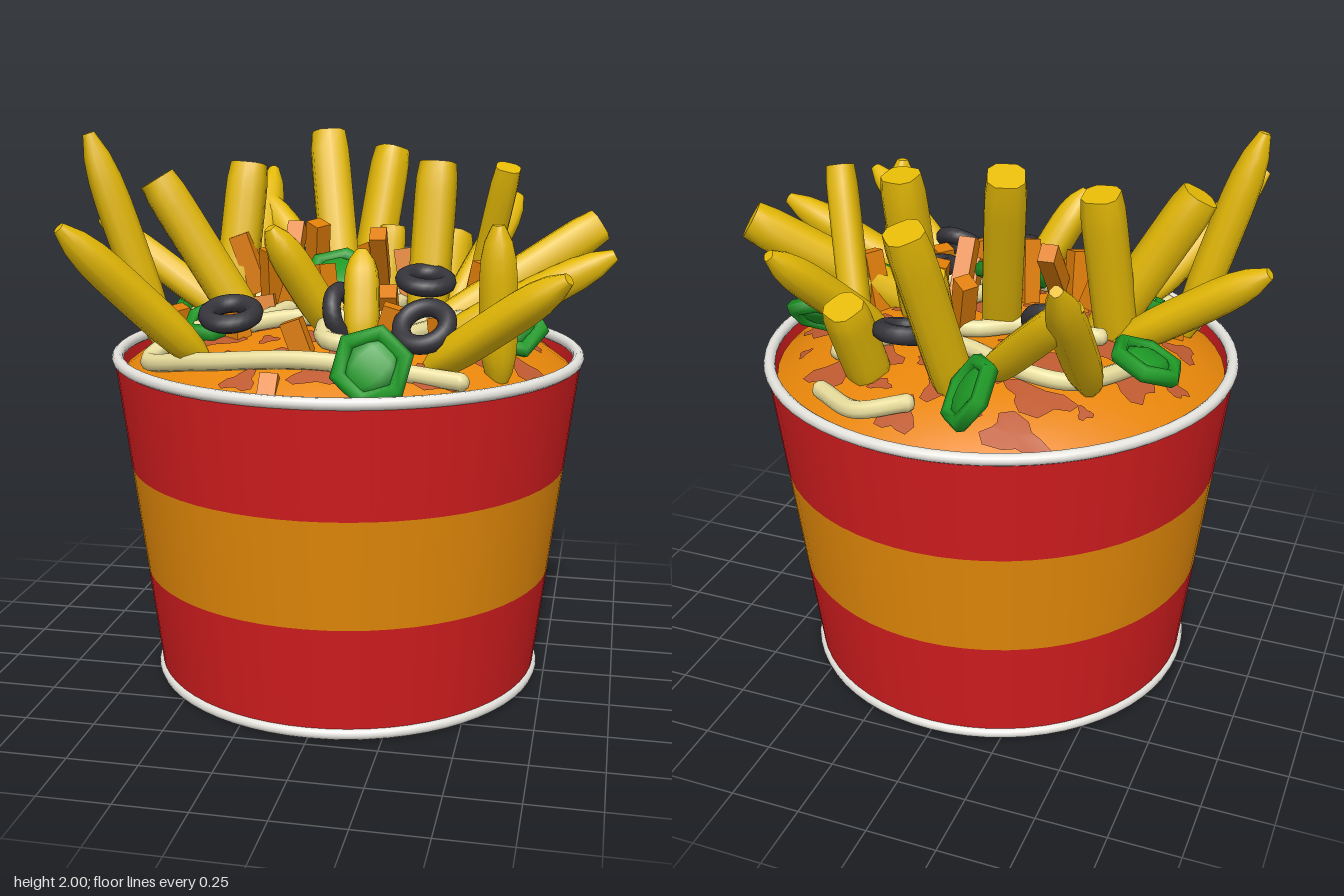
import * as THREE from 'three';

const mat = (name, color, side = THREE.FrontSide) => {
  const m = new THREE.MeshStandardMaterial({ color, side });
  m.name = name;
  return m;
};

// Height of the sauce mound at a point
const moundY = (x, z) => 1.35 - 0.19 * (Math.hypot(x, z) / 0.81) ** 3.5;
const UP = new THREE.Vector3(0, 1, 0);
const FACING = new THREE.Vector3(0, 0, 1);

// Rounded-square stick along y; pointed ones narrow towards both ends
function fryGeometry(length, width, pointed) {
  const g = new THREE.CylinderGeometry(1, 1, 1, 12, 10);
  const p = g.attributes.position;
  for (let i = 0; i < p.count; i++) {
    const x = p.getX(i), y = p.getY(i), z = p.getZ(i);
    const r = Math.hypot(x, z);
    const square = r > 0.01 ? Math.pow((x / r) ** 4 + (z / r) ** 4, -0.25) : 1;
    const t = Math.abs(y) * 2;
    const end = pointed ? 1 - 0.68 * t ** 4 : 1 - 0.12 * t ** 8;
    const s = (width / 2) * square * end;
    p.setXYZ(i, x * s, y * length, z * s);
  }
  g.computeVertexNormals();
  return g;
}

export function createModel() {
  const root = new THREE.Group();
  const red = mat('red card', 0xd41d1f, THREE.DoubleSide);
  const orange = mat('orange band', 0xe58a08, THREE.DoubleSide);
  const white = mat('rim white', 0xe6e4de);
  const sauce = mat('sauce orange', 0xe8860a, THREE.DoubleSide);
  const brown = mat('sauce brown', 0xbe5a30, THREE.DoubleSide);
  const yellow = mat('fry yellow', 0xe4b906);
  const cream = mat('cheese cream', 0xeee2a0);
  const green = mat('pepper green', 0x1e9a26);
  const black = mat('olive black', 0x34343a);
  const carrot = mat('carrot orange', 0xde7d08);

  const add = (name, geometry, material, parent = root) => {
    const m = new THREE.Mesh(geometry, material);
    m.name = name;
    parent.add(m);
    return m;
  };
  const group = (name, parent = root) => {
    const g = new THREE.Group();
    g.name = name;
    parent.add(g);
    return g;
  };
  // Put a ring at x, y, z, facing along nx, ny, nz
  const place = (object, [x, y, z, nx, ny, nz]) => {
    object.position.set(x, y, z);
    object.quaternion.setFromUnitVectors(FACING, new THREE.Vector3(nx, ny, nz).normalize());
  };

  // Bucket wall in three bands
  const radiusAt = (y) => 0.705 + 0.14 * (y - 0.03) / 1.17;
  [['lowerBand', 0.03, 0.42, red], ['middleBand', 0.42, 0.81, orange], ['upperBand', 0.81, 1.21, red]]
    .forEach(([name, y0, y1, m]) => {
      const g = new THREE.CylinderGeometry(radiusAt(y1), radiusAt(y0), y1 - y0, 64, 1, true);
      add(name, g, m).position.y = (y0 + y1) / 2;
    });
  const base = add('bucketBase', new THREE.CircleGeometry(0.7, 64), red);
  base.rotation.x = Math.PI / 2;
  base.position.y = 0.035;
  [['bottomRim', 0.7, 0.025], ['topRim', 0.835, 1.208]].forEach(([name, r, y]) => {
    const rim = add(name, new THREE.TorusGeometry(r, 0.021, 10, 64), white);
    rim.rotation.x = Math.PI / 2;
    rim.position.y = y;
  });

  // Sauce mound
  const profile = [];
  for (let i = 0; i <= 16; i++) {
    const r = 0.81 * (1 - i / 16);
    profile.push(new THREE.Vector2(r, moundY(r, 0)));
  }
  add('sauceMound', new THREE.LatheGeometry(profile, 48), sauce);

  // Irregular brown patches laid on the mound
  const patches = group('saucePatches');
  for (let k = 0; k < 64; k++) {
    const a = k * 2.4, r = 0.73 * Math.sqrt((k + 1) / 65);
    const size = 0.042 + 0.02 * Math.sin(k * 5.1);
    const g = new THREE.CircleGeometry(1, 14);
    const p = g.attributes.position;
    for (let i = 0; i < p.count; i++) {
      const u = p.getX(i), v = p.getY(i);
      const w = size * (1 + 0.35 * Math.sin(3 * Math.atan2(v, u) + k));
      const x = Math.cos(a) * r + u * w * (1 + (k % 3) * 0.4);
      const z = Math.sin(a) * r - v * w;
      p.setXYZ(i, x, moundY(x, z) + 0.007, z);
    }
    g.computeVertexNormals();
    add('saucePatch', g, brown, patches);
  }

  // Fries: foot x, z on the mound, then tip x, y, z
  const fries = group('fries');
  const addFry = ([fx, fz, x, y, z], width, pointed, turn) => {
    const foot = new THREE.Vector3(fx, moundY(fx, fz) - 0.04, fz);
    const tip = new THREE.Vector3(x, y, z);
    const dir = tip.clone().sub(foot);
    const fry = add('fry', fryGeometry(dir.length(), width, pointed), yellow, fries);
    fry.position.copy(foot).add(tip).multiplyScalar(0.5);
    fry.quaternion.setFromUnitVectors(UP, dir.normalize());
    fry.rotateY(turn);
  };
  const pointedFries = [
    [-0.38, 0.49, -0.77, 1.73, 0.80], [-0.42, -0.02, -0.96, 1.66, -0.07],
    [-0.60, 0.27, -0.83, 2.00, 0.36], [-0.45, -0.33, -0.47, 1.80, -0.79],
    [-0.09, -0.40, -0.51, 1.72, -0.70], [0.34, 0.26, 0.95, 1.61, 0.20],
    [0.35, 0.49, 0.82, 1.60, 0.70], [0.59, 0.41, 0.58, 1.73, 0.45],
    [0.02, 0.27, -0.18, 1.70, 0.43], [0.13, 0.42, 0.11, 1.62, 0.31],
    [0.34, -0.22, 0.56, 1.72, -0.64],
  ];
  pointedFries.forEach((f, i) => addFry(f, 0.115, true, i * 0.35));
  const bluntFries = [
    [-0.43, 0.03, -0.39, 1.87, -0.10], [-0.03, -0.08, -0.14, 1.97, -0.32],
    [-0.03, -0.50, 0.04, 1.89, -0.72], [0.29, -0.48, 0.31, 1.57, -0.62],
    [0.28, -0.06, 0.30, 1.88, -0.17], [0.33, 0.05, 0.88, 1.66, -0.20],
    [-0.36, 0.06, -0.67, 1.83, 0.13],
  ];
  bluntFries.forEach((f, i) => addFry(f, 0.14, false, i * 0.35));
  const thinFries = [[0.42, -0.30, 0.56, 1.87, -0.11], [0.09, -0.30, 0.10, 1.62, -0.38]];
  thinFries.forEach((f, i) => addFry(f, 0.1, false, i * 0.35));

  // Melted cheese strands following the mound
  const cheese = group('cheeseStrands');
  const addStrand = (points) => {
    const curve = new THREE.CatmullRomCurve3(points.map(([x, z]) => new THREE.Vector3(x, moundY(x, z) + 0.028, z)));
    add('cheeseStrand', new THREE.TubeGeometry(curve, 60, 0.032, 8), cream, cheese);
    [0, 1].forEach((t) => {
      add('strandEnd', new THREE.SphereGeometry(0.032, 8, 6), cream, cheese).position.copy(curve.getPoint(t));
    });
  };
  addStrand([[0.48, 0.57], [0, 0.63], [-0.4, 0.57], [-0.62, 0.42], [-0.5, 0.31], [-0.28, 0.33], [-0.19, 0.12]]);
  addStrand([[-0.6, -0.1], [-0.4, -0.4], [-0.2, -0.42], [0, -0.35], [0.25, -0.33], [0.44, -0.42]]);
  addStrand([[-0.4, -0.1], [-0.15, -0.12], [0.02, -0.22], [0.17, -0.2], [0.17, -0.03], [0, 0.32],
    [0.03, 0.5], [0.17, 0.5], [0.3, 0.36], [0.42, 0.1]]);
  addStrand([[0.08, -0.66], [0.25, -0.69], [0.42, -0.6]]);
  addStrand([[-0.3, 0.35], [-0.15, 0.28], [0.1, 0.26], [0.4, 0.2]]);

  // Olive rings: centre, then facing direction
  const olives = group('oliveRings');
  [
    [0.14, 1.47, -0.52, 0, 1, 0.25], [-0.29, 1.46, -0.28, 0, 0.6, 0.8],
    [0.29, 1.48, 0.04, 0.1, 1, 0.2], [-0.30, 1.42, 0.50, 0, 1, 0.3],
    [0.35, 1.40, 0.49, -0.15, 0.75, 0.65], [0.06, 1.41, 0.37, 0.9, 0.25, 0.3],
  ].forEach((ring) => place(add('oliveRing', new THREE.TorusGeometry(0.078, 0.032, 10, 24), black, olives), ring));

  // Pepper slices: faceted ring with a domed middle
  const peppers = group('pepperSlices');
  [
    [-0.60, 1.35, -0.21, -0.35, 0.9, 0.1], [-0.03, 1.49, 0.03, 0, 0.85, 0.5],
    [-0.41, 1.36, 0.28, -0.2, 0.85, 0.3], [-0.15, 1.37, -0.68, 0.7, 0.55, -0.45],
    [0.55, 1.38, -0.30, 0.1, 0.75, 0.66], [0.60, 1.35, 0.14, 0.25, 0.7, 0.65],
    [0.21, 1.30, 0.68, 0.05, 0.35, 0.93],
  ].forEach((spot, i) => {
    const slice = group('pepperSlice', peppers);
    add('pepperSkin', new THREE.TorusGeometry(0.11, 0.03, 6, 6), green, slice);
    add('pepperCore', new THREE.SphereGeometry(0.095, 6, 6), green, slice).scale.z = 0.3;
    place(slice, spot);
    slice.rotateZ(i * 0.4);
  });

  // Carrot sticks, leaning at varied angles
  const sticks = group('carrotSticks');
  const addStick = ([x, y, z], length, i) => {
    const s = add('carrotStick', new THREE.BoxGeometry(0.07, length, 0.06), carrot, sticks);
    s.position.set(x, y, z);
    s.rotation.set(0.35 * Math.sin(i * 2.3), i * 0.8, 0.35 * Math.cos(i * 1.7));
  };
  const tallSticks = [
    [-0.36, 1.52, 0.02], [-0.26, 1.48, 0.08], [-0.21, 1.56, -0.04], [-0.13, 1.56, -0.08], [-0.19, 1.42, 0.1],
    [-0.04, 1.44, 0.2], [0.1, 1.54, -0.1], [0.05, 1.46, -0.23], [0.2, 1.46, -0.12], [0.47, 1.43, -0.05],
  ];
  tallSticks.forEach((p, i) => addStick(p, 0.22, i));
  const shortSticks = [
    [-0.06, 1.34, 0.53], [-0.58, 1.31, 0.2], [-0.12, 1.19, 0.72], [0.53, 1.32, 0.3], [0.22, 1.38, 0.43],
    [0.4, 1.34, 0.4], [0.18, 1.4, 0.16], [-0.32, 1.37, 0.36], [-0.25, 1.36, 0.2],
  ];
  shortSticks.forEach((p, i) => addStick(p, 0.15, i));

  return root;
}
